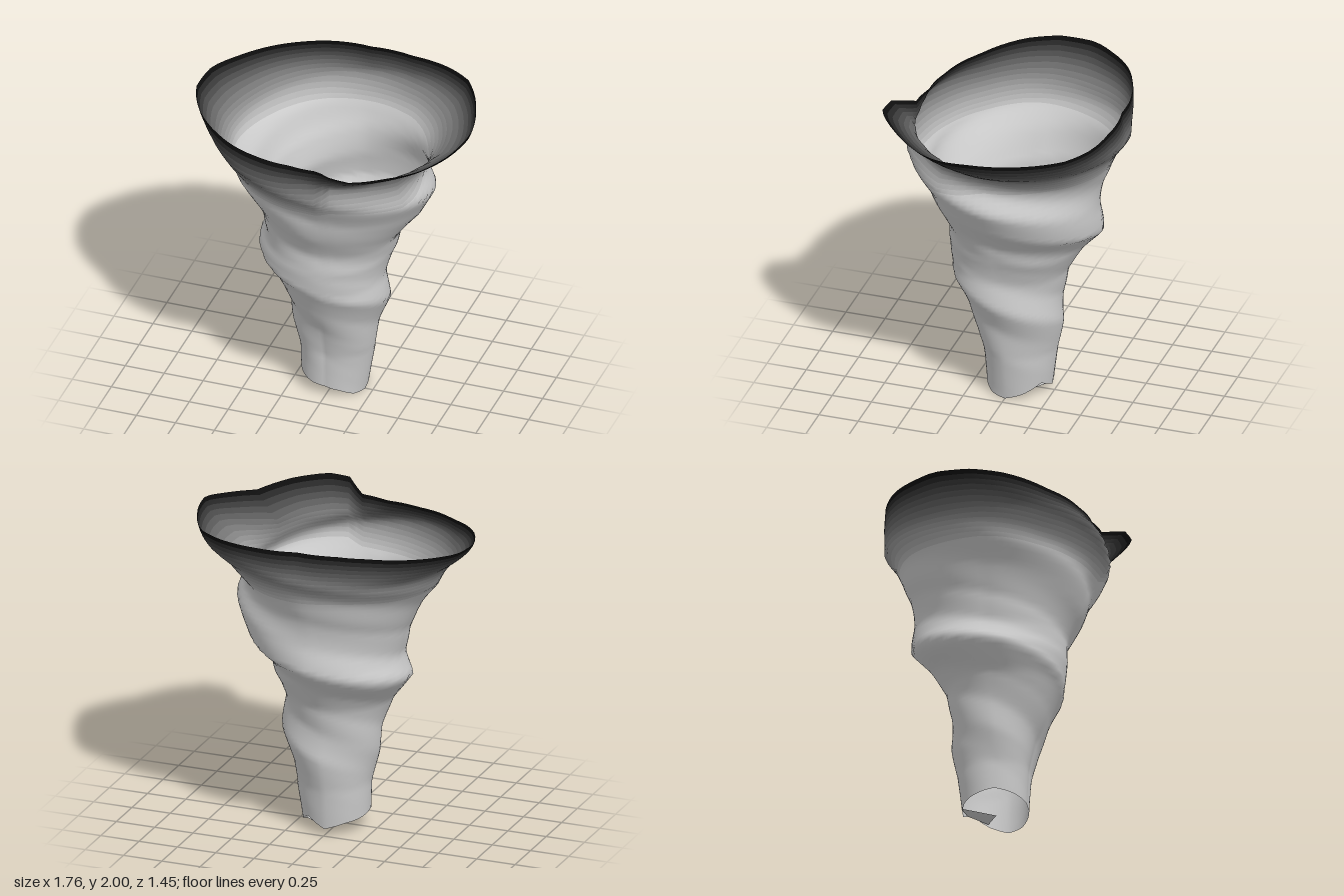
import * as THREE from 'three';

const { lerp, clamp, smoothstep } = THREE.MathUtils;
const TAU = Math.PI * 2;
const AROUND = 84, ROWS = 72, DARK_ROWS = 14;

// Wall radius at several heights, looking along +x, +z, -x and -z
const HEIGHTS = [0, 0.3, 0.5, 0.68, 0.85, 1.02, 1.15, 1.32, 1.5, 1.62, 1.71, 1.8, 2];
const SIDES = [
  [0.2, 0.25, 0.28, 0.35, 0.33, 0.37, 0.4, 0.55, 0.63, 0.58, 0.61, 0.69, 0.86],
  [0.16, 0.17, 0.22, 0.3, 0.39, 0.4, 0.41, 0.49, 0.54, 0.62, 0.67, 0.59, 0.6],
  [0.2, 0.21, 0.26, 0.28, 0.33, 0.47, 0.41, 0.43, 0.53, 0.62, 0.66, 0.74, 0.87],
  [0.23, 0.27, 0.31, 0.3, 0.33, 0.44, 0.55, 0.54, 0.56, 0.6, 0.65, 0.73, 0.7],
];
const MEAN = HEIGHTS.map((_, i) => SIDES.reduce((s, side) => s + side[i] / 4, 0));

// Ragged upper rim as x, y, z, counted from +x towards +z
const RIM = [
  [0.88, 1.98, 0.02], [0.82, 1.94, 0.22], [0.7, 1.91, 0.4], [0.54, 1.94, 0.6],
  [0.36, 1.95, 0.73], [0.19, 1.95, 0.71], [0.12, 1.9, 0.6], [-0.08, 1.89, 0.58],
  [-0.3, 1.89, 0.55], [-0.58, 1.9, 0.42], [-0.8, 1.93, 0.2], [-0.88, 1.94, 0.01],
  [-0.86, 1.95, -0.22], [-0.74, 1.96, -0.38], [-0.43, 1.99, -0.6], [-0.25, 2, -0.66],
  [0, 2, -0.68], [0.27, 1.99, -0.68], [0.52, 1.99, -0.63], [0.67, 1.99, -0.54],
  [0.82, 1.98, -0.26],
].map(([x, y, z]) => ({ a: (Math.atan2(z, x) + TAU) % TAU, r: Math.hypot(x, z), y }));

// Lower edge height at even steps around
const FOOT = [0, 0.01, 0.05, 0.07, 0.08, 0.1, 0.12, 0.1, 0.08, 0.04, 0.1, 0.04];

function sample(list, y) {
  const h = clamp(y, 0, 2);
  let i = 0;
  while (i < HEIGHTS.length - 2 && h > HEIGHTS[i + 1]) i++;
  return lerp(list[i], list[i + 1], (h - HEIGHTS[i]) / (HEIGHTS[i + 1] - HEIGHTS[i]));
}

function rimAt(a) {
  const n = RIM.length;
  let i = n - 1;
  for (let k = 0; k < n; k++) if (RIM[k].a <= a) i = k;
  const p = RIM[i], q = RIM[(i + 1) % n];
  const t = ((a - p.a + TAU) % TAU) / ((q.a - p.a + TAU) % TAU);
  return { r: lerp(p.r, q.r, t), y: lerp(p.y, q.y, t) };
}

function footAt(a) {
  const f = (a / TAU) * FOOT.length, i = Math.floor(f);
  return lerp(FOOT[i], FOOT[(i + 1) % FOOT.length], f - i);
}

// Blend neighbouring sides along a rising helix so that the ridges spiral
function wallRadius(a, y) {
  const climb = 0.17;
  const f = a / (Math.PI / 2), k = Math.floor(f), t = f - k;
  const shifted = (side, yy) => sample(SIDES[side], yy) / sample(MEAN, yy);
  const ratio = lerp(shifted(k, y - t * climb), shifted((k + 1) % 4, y + (1 - t) * climb), t);
  const ripple = 0.016 * Math.sin(3 * a - (TAU * y) / 0.4) * smoothstep(y, 0.1, 0.6);
  return sample(MEAN, y) * (ratio + ripple);
}

// Rings of points from foot to rim
function funnelGeometry() {
  const pos = [], index = [];
  for (let j = 0; j <= ROWS; j++) {
    for (let i = 0; i < AROUND; i++) {
      const a = (i / AROUND) * TAU, rim = rimAt(a);
      const y = lerp(footAt(a), rim.y, j / ROWS);
      const blend = clamp((y - 1.78) / (rim.y - 1.78), 0, 1);
      const r = lerp(wallRadius(a, y), rim.r, blend);
      pos.push(r * Math.cos(a), y, r * Math.sin(a));
      if (j < ROWS) {
        const p = j * AROUND + i, q = j * AROUND + ((i + 1) % AROUND);
        index.push(p, p + AROUND, q, q, p + AROUND, q + AROUND);
      }
    }
  }
  const g = new THREE.BufferGeometry();
  g.setAttribute('position', new THREE.Float32BufferAttribute(pos, 3));
  g.setIndex(index);
  g.computeVertexNormals();
  return g;
}

// Some rows of the funnel, keeping its smooth normals
function rowsOf(funnel, from, to) {
  const g = new THREE.BufferGeometry();
  const first = from * AROUND, last = (to + 1) * AROUND;
  for (const name of ['position', 'normal']) {
    const part = funnel.attributes[name].array.slice(first * 3, last * 3);
    g.setAttribute(name, new THREE.BufferAttribute(part, 3));
  }
  const faces = funnel.index.array.slice(first * 6, to * AROUND * 6);
  g.setIndex(Array.from(faces, (v) => v - first));
  return g;
}

// Small torn flap folded inwards at the foot
function flapGeometry() {
  const g = new THREE.BufferGeometry();
  g.setAttribute('position', new THREE.Float32BufferAttribute([
    -0.04, 0.08, -0.24, 0, 0.03, -0.03, 0.06, 0.07, -0.22,
    0.06, 0.07, -0.22, 0, 0.03, -0.03, 0.18, 0.06, -0.12,
  ], 3));
  g.computeVertexNormals();
  return g;
}

export function createModel() {
  const group = new THREE.Group();
  group.name = 'whirlwind';
  const grey = (color) => new THREE.MeshStandardMaterial({ color, side: THREE.DoubleSide });
  const add = (name, geometry, material) => {
    const mesh = new THREE.Mesh(geometry, material);
    mesh.name = name;
    group.add(mesh);
  };
  const funnel = funnelGeometry(), bodyMaterial = grey(0xcccccc);
  const start = ROWS - DARK_ROWS;
  add('funnelWall', rowsOf(funnel, 0, start), bodyMaterial);
  add('footFlap', flapGeometry(), bodyMaterial);

  // The cloud darkens towards the rim in thin bands
  for (let k = 0; k < DARK_ROWS; k++) {
    const shade = 0.8 * Math.pow(1 - (k + 0.7) / DARK_ROWS, 0.7);
    const color = new THREE.Color().setRGB(shade, shade, shade, THREE.SRGBColorSpace);
    add(`rimBand${k + 1}`, rowsOf(funnel, start + k, start + k + 1), grey(color));
  }
  return group;
}
